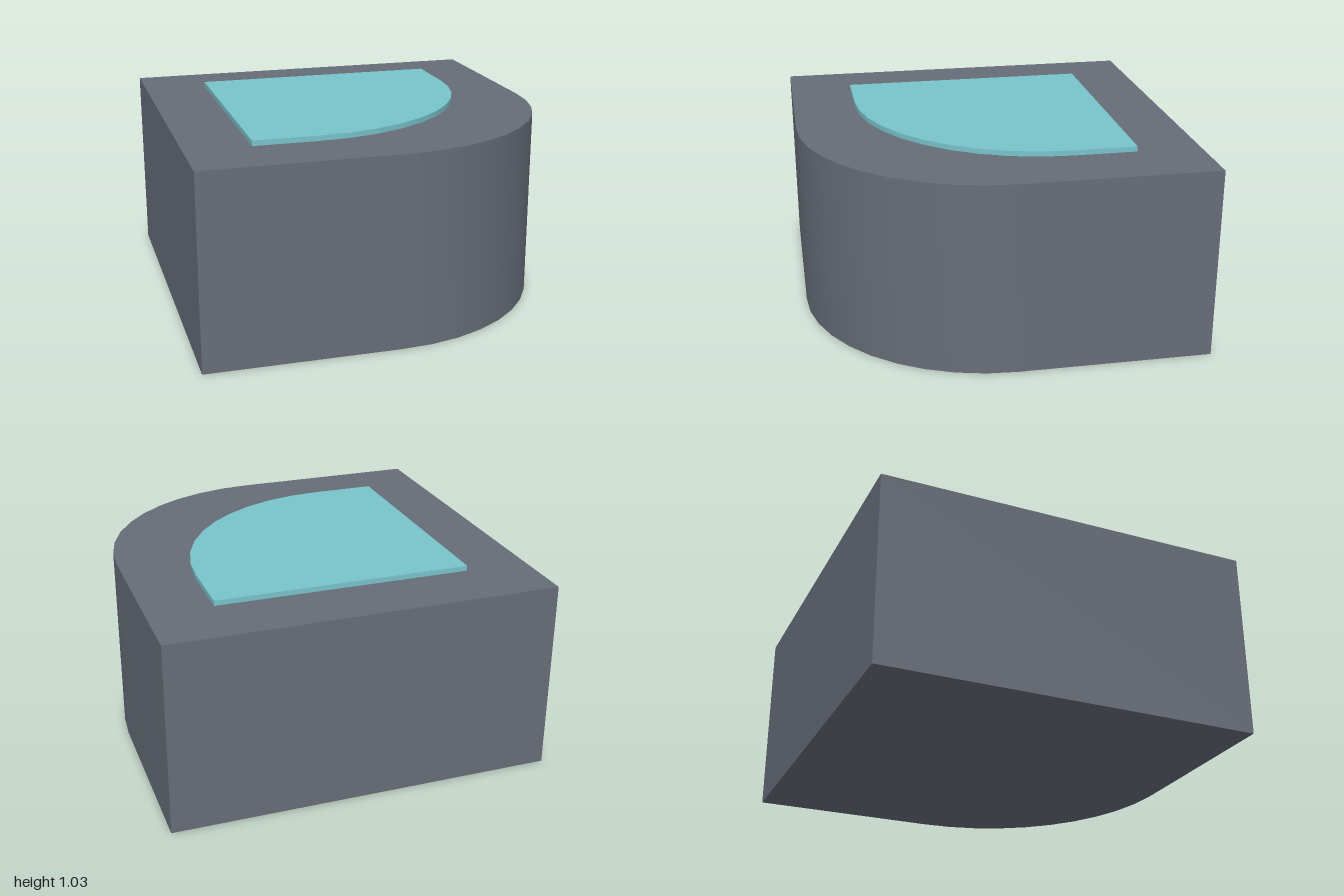
import * as THREE from 'three';
import { toCreasedNormals } from 'three/addons/utils/BufferGeometryUtils.js';

// Square slab of half-width `half`, its front-left corner rounded by `radius`
function roundedCornerSlab(name, half, radius, bottom, top, color) {
  const c = half - radius;
  const shape = new THREE.Shape();
  shape.moveTo(-half, -half);
  shape.lineTo(half, -half);
  shape.lineTo(half, c);
  shape.absarc(c, c, radius, 0, Math.PI / 2, false);
  shape.lineTo(-half, half);
  shape.closePath();

  const extruded = new THREE.ExtrudeGeometry(shape, {
    depth: top - bottom, bevelEnabled: false, curveSegments: 5,
  });
  // Lay the outline flat so its y runs along z and the depth runs down
  extruded.rotateX(Math.PI / 2).translate(0, top, 0);

  const mesh = new THREE.Mesh(
    toCreasedNormals(extruded, Math.PI / 6),
    new THREE.MeshStandardMaterial({ color }),
  );
  mesh.name = name;
  return mesh;
}

export function createModel() {
  const model = new THREE.Group();
  model.name = 'roundedCornerBlock';
  // Solid base block
  model.add(roundedCornerSlab('baseBlock', 1, 1, 0, 1, 0x676d78));
  // Thin raised panel on top
  model.add(roundedCornerSlab('topPanel', 0.665, 0.995, 1, 1.027, 0x78c4cb));
  return model;
}
